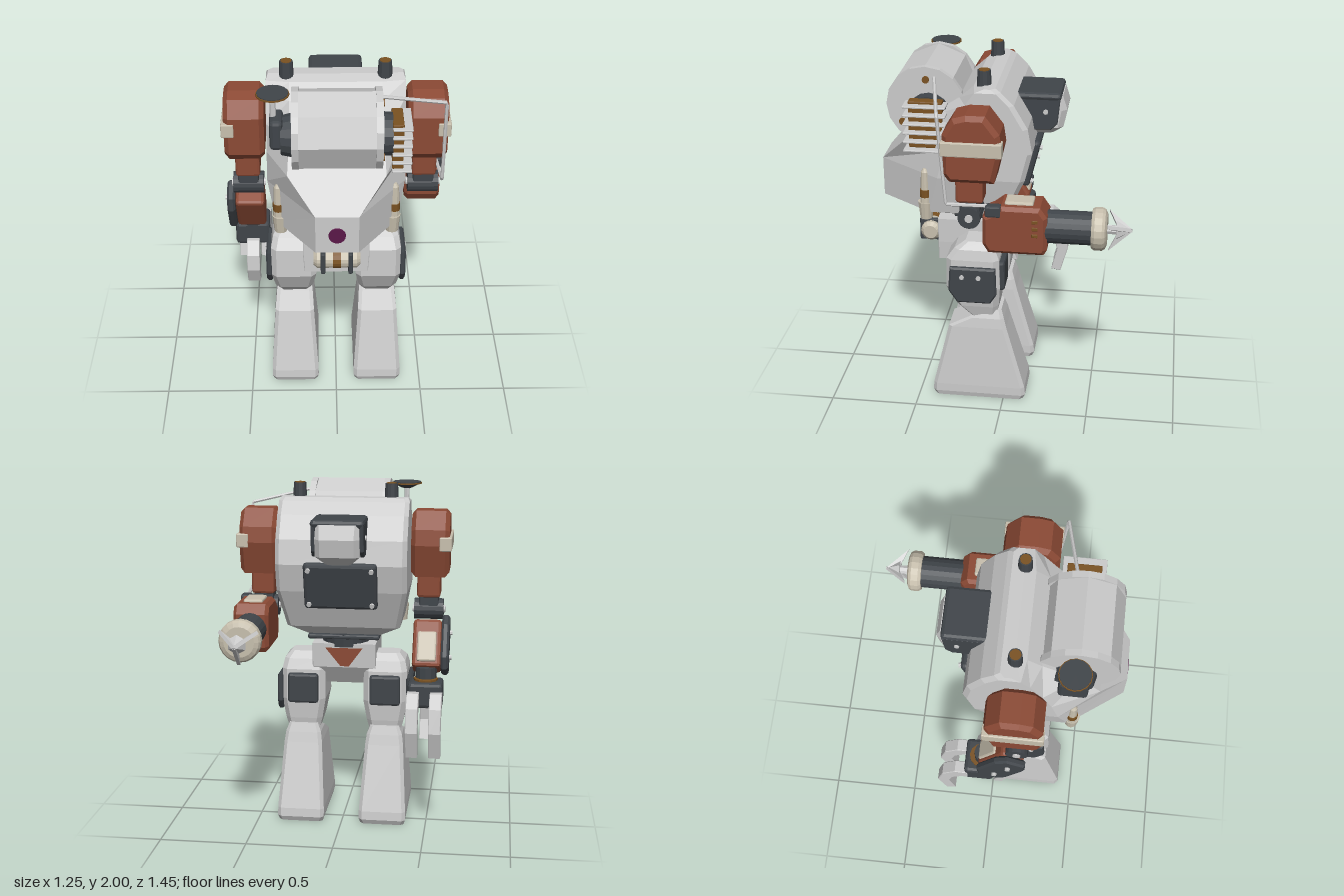
import * as THREE from 'three';
import { RoundedBoxGeometry } from 'three/addons/geometries/RoundedBoxGeometry.js';

const mat = (color, side = THREE.FrontSide) => new THREE.MeshStandardMaterial({ color, flatShading: true, side });
const GREY = mat(0xcccccc), DARK = mat(0x40454a), RUST = mat(0x8c4a35), CREAM = mat(0xc8c0ae);
const BROWN = mat(0x7a5222), PURPLE = mat(0x5a1848), DECAL = mat(0x8c4a35, THREE.DoubleSide);

function add(parent, name, geometry, material, x = 0, y = 0, z = 0) {
  const m = new THREE.Mesh(geometry, material);
  m.name = name;
  m.position.set(x, y, z);
  parent.add(m);
  return m;
}

// Box given by its limits, with softened edges
function box(p, name, material, x0, x1, y0, y1, z0, z1, r = 0.01) {
  const g = new RoundedBoxGeometry(x1 - x0, y1 - y0, z1 - z0, 1, r);
  return add(p, name, g, material, (x0 + x1) / 2, (y0 + y1) / 2, (z0 + z1) / 2);
}

// Cylinder along an axis; r1 is the radius at the positive end
function cyl(p, name, material, axis, r0, r1, length, x, y, z, sides = 16) {
  const m = add(p, name, new THREE.CylinderGeometry(r1, r0, length, sides), material, x, y, z);
  if (axis === 'x') m.rotation.z = -Math.PI / 2;
  if (axis === 'z') m.rotation.x = Math.PI / 2;
  return m;
}

// Side outline of [z, y] points extruded from x0 to x1
function slab(p, name, material, pts, x0, x1, bevel = 0.015) {
  const shape = new THREE.Shape(pts.map(([z, y]) => new THREE.Vector2(-z, y)));
  const g = new THREE.ExtrudeGeometry(shape, {
    depth: x1 - x0 - 2 * bevel, bevelEnabled: bevel > 0, bevelSize: bevel, bevelThickness: bevel,
    bevelOffset: -bevel, bevelSegments: 1,
  });
  g.translate(0, 0, bevel).rotateY(Math.PI / 2);
  return add(p, name, g, material, x0);
}

// Skin over stacked rings of [x, y, z], bottom ring first
function loft(rings) {
  const n = rings[0].length, v = [];
  for (let k = 0; k < rings.length - 1; k++) {
    for (let i = 0; i < n; i++) {
      const j = (i + 1) % n, lo = rings[k], up = rings[k + 1];
      v.push(...lo[i], ...up[i], ...lo[j], ...lo[j], ...up[i], ...up[j]);
    }
  }
  const a = rings[0], b = rings[rings.length - 1];
  for (let i = 1; i < n - 1; i++) v.push(...a[0], ...a[i], ...a[i + 1], ...b[0], ...b[i + 1], ...b[i]);
  const g = new THREE.BufferGeometry();
  g.setAttribute('position', new THREE.Float32BufferAttribute(v, 3));
  g.computeVertexNormals();
  return g;
}

// Rectangle ring with cut corners: height, half width, back, front, corner
const ring = ([y, w, z0, z1, c]) => [
  [w, y, z0 + c], [w, y, z1 - c], [w - c, y, z1], [c - w, y, z1],
  [-w, y, z1 - c], [-w, y, z0 + c], [c - w, y, z0], [w - c, y, z0]];

function buildTorso(root) {
  const g = new THREE.Group();
  g.name = 'torso';
  root.add(g);
  // height, back, side front, front, side half width, front half width
  const levels = [
    [1.11, 0.04, 0.25, 0.5, 0.2, 0.11], [1.175, -0.02, 0.42, 0.72, 0.33, 0.115],
    [1.4, -0.12, 0.36, 0.72, 0.375, 0.115], [1.56, -0.16, 0.32, 0.57, 0.375, 0.26],
    [1.7, -0.135, 0.27, 0.45, 0.375, 0.25], [1.83, -0.06, 0.2, 0.25, 0.375, 0.25],
    [1.9, 0.01, 0.15, 0.17, 0.375, 0.25], [1.92, 0.04, 0.1, 0.11, 0.365, 0.25]];
  const c = 0.025;
  add(g, 'torsoShell', loft(levels.map(([y, b, s, f, w, v]) => [
    [w, y, b + c], [w, y, s], [v, y, f], [-v, y, f], [-w, y, s], [-w, y, b + c], [c - w, y, b], [w - c, y, b]])), GREY);
  cyl(g, 'frontLens', PURPLE, 'z', 0.047, 0.045, 0.012, 0, 1.285, 0.722, 20);
  cyl(g, 'neckRing', DARK, 'y', 0.14, 0.15, 0.08, 0, 1.085, 0.15, 16);
  box(g, 'bellyPlate', DARK, -0.21, 0.21, 1.095, 1.125, 0.0, 0.3);
  for (const s of [-1, 1]) {
    // Flask and exhaust stack on each side
    cyl(g, 'flaskBase', CREAM, 'y', 0.035, 0.045, 0.1, s * 0.305, 1.18, 0.44, 12);
    cyl(g, 'flaskBody', CREAM, 'y', 0.03, 0.022, 0.18, s * 0.315, 1.32, 0.44, 12);
    cyl(g, 'flaskTip', CREAM, 'y', 0.022, 0.01, 0.02, s * 0.315, 1.42, 0.44, 12);
    cyl(g, 'flaskBand', BROWN, 'y', 0.031, 0.031, 0.045, s * 0.315, 1.285, 0.44, 12);
    cyl(g, 'stack', DARK, 'y', 0.042, 0.036, 0.12, s * 0.265, 1.937, 0.11, 12);
    cyl(g, 'stackTop', BROWN, 'y', 0.03, 0.03, 0.006, s * 0.265, 1.997, 0.11, 12);
  }
  // Back pack with dark lid and cheeks
  add(g, 'packBody', loft([[1.58, 0.07, -0.25, -0.08, 0.02], [1.63, 0.125, -0.305, -0.06, 0.03],
    [1.73, 0.125, -0.325, -0.04, 0.03], [1.81, 0.12, -0.3, -0.03, 0.02]].map(ring)), GREY);
  box(g, 'packLid', DARK, -0.148, 0.152, 1.79, 1.835, -0.295, 0.04, 0.02);
  for (const s of [-1, 1]) {
    slab(g, 'packCheek', DARK, [[-0.05, 1.81], [-0.29, 1.81], [-0.275, 1.66], [-0.24, 1.625], [-0.1, 1.62]],
      s * 0.135 - 0.012, s * 0.135 + 0.012, 0.005);
    cyl(g, 'packBolt', GREY, 'x', 0.014, 0.014, 0.012, s * 0.15, 1.73, -0.21, 8);
  }
  // Bolted service plate
  const plate = new THREE.Group();
  plate.name = 'servicePlate';
  plate.position.set(0, 1.44, -0.135);
  plate.rotation.x = -0.25;
  g.add(plate);
  box(plate, 'servicePanel', DARK, -0.21, 0.21, -0.14, 0.14, -0.025, 0.025, 0.02);
  for (const x of [-0.18, 0.18]) for (const y of [-0.105, 0.105])
    cyl(plate, 'serviceBolt', GREY, 'z', 0.014, 0.014, 0.02, x, y, -0.03, 8);
}

function buildHead(root) {
  const g = new THREE.Group();
  g.name = 'head';
  root.add(g);
  const y = 1.773, z = 0.44;
  cyl(g, 'headBarrel', GREY, 'x', 0.216, 0.216, 0.46, 0.003, y, z, 8);
  for (const x of [-0.215, 0.22]) cyl(g, 'headRim', GREY, 'x', 0.217, 0.217, 0.036, x, y, z, 16);
  for (const [dy, dz] of [[0.145, -0.005], [-0.1, 0.13]])
    cyl(g, 'rimStud', BROWN, 'x', 0.02, 0.02, 0.012, 0.242, y + dy, z + dz, 10);
  // Finned vent on the left
  cyl(g, 'ventHub', DARK, 'x', 0.12, 0.115, 0.06, 0.265, 1.725, 0.42);
  box(g, 'ventCore', BROWN, 0.29, 0.35, 1.565, 1.83, 0.33, 0.515, 0.005);
  for (let i = 0; i < 6; i++) {
    const fy = 1.56 + i * 0.05;
    box(g, 'ventFin', GREY, 0.29, 0.395, fy - 0.006, fy + 0.006, 0.305, 0.54, 0.004);
  }
  // Dish on the right
  cyl(g, 'dishHub', DARK, 'x', 0.105, 0.12, 0.06, -0.262, 1.72, 0.42);
  box(g, 'dishMount', DARK, -0.35, -0.28, 1.67, 1.84, 0.34, 0.5, 0.02);
  cyl(g, 'dishPost', GREY, 'y', 0.016, 0.016, 0.14, -0.33, 1.89, 0.42, 8);
  cyl(g, 'dishCone', DARK, 'y', 0.03, 0.08, 0.025, -0.33, 1.95, 0.42, 16);
  cyl(g, 'dishRim', BROWN, 'y', 0.088, 0.088, 0.008, -0.33, 1.966, 0.42, 16);
  cyl(g, 'dishFace', DARK, 'y', 0.083, 0.083, 0.006, -0.33, 1.972, 0.42, 16);
  // Bent feed pipe from the head to the left elbow
  const path = new THREE.CurvePath();
  const pts = [[0.23, 1.93, 0.39], [0.585, 1.85, 0.315], [0.585, 1.345, 0.275], [0.57, 1.34, 0.05]].map(p => new THREE.Vector3(...p));
  for (let i = 0; i < 3; i++) path.add(new THREE.LineCurve3(pts[i], pts[i + 1]));
  add(g, 'feedPipe', new THREE.TubeGeometry(path, 60, 0.01, 6), GREY);
}

function buildPelvis(root) {
  const g = new THREE.Group();
  g.name = 'pelvis';
  root.add(g);
  add(g, 'pelvisBlock', loft([[0.81, 0.18, 0.1, 0.4, 0.004], [0.92, 0.187, 0.03, 0.4, 0.004],
    [1.065, 0.187, 0.02, 0.4, 0.004]].map(ring)), GREY);
  const tri = new THREE.Shape([[-0.11, 1.04], [0.11, 1.04], [0.02, 0.93], [-0.03, 0.93]].map(p => new THREE.Vector2(...p)));
  add(g, 'paintPatch', new THREE.ShapeGeometry(tri), DECAL, 0, 0, 0.017);
  // Strapped canister
  const prof = [[0, -0.13], [0.04, -0.13], [0.058, -0.11], [0.058, 0.11], [0.04, 0.13], [0, 0.13]];
  add(g, 'canister', new THREE.LatheGeometry(prof.map(p => new THREE.Vector2(...p)), 16), CREAM, 0.002, 0.95, 0.457).rotation.z = Math.PI / 2;
  cyl(g, 'canisterBand', BROWN, 'x', 0.06, 0.06, 0.045, 0.002, 0.95, 0.457);
  for (const x of [-0.075, 0.078]) box(g, 'canisterStrap', DARK, x - 0.013, x + 0.013, 0.882, 1.018, 0.395, 0.525, 0.008);
}

function buildLeg(root, s) {
  const g = new THREE.Group();
  g.name = s > 0 ? 'leftLeg' : 'rightLeg';
  g.position.x = s * 0.243;
  root.add(g);
  add(g, 'thigh', loft([[0.49, 0.08, 0.05, 0.16, 0.02], [0.6, 0.11, 0.03, 0.27, 0.03], [0.72, 0.13, 0.02, 0.33, 0.03],
    [0.9, 0.128, 0.025, 0.325, 0.03], [0.96, 0.115, 0.05, 0.28, 0.03], [1.0, 0.08, 0.09, 0.22, 0.02]].map(ring)), GREY);
  add(g, 'shin', loft([[0, 0.13, -0.115, 0.405, 0.02], [0.03, 0.138, -0.13, 0.417, 0.02], [0.08, 0.138, -0.125, 0.413, 0.02],
    [0.46, 0.113, -0.015, 0.32, 0.02], [0.52, 0.105, 0, 0.2, 0.02], [0.57, 0.085, 0.015, 0.08, 0.015]].map(ring)), GREY);
  const x = s * 0.14;
  slab(g, 'thighPlate', DARK, [[0.3, 0.865], [0.04, 0.865], [0.035, 0.7], [0.07, 0.645], [0.26, 0.645], [0.31, 0.72]], x - 0.018, x + 0.018, 0.01);
  for (const z of [0.135, 0.23]) cyl(g, 'thighBolt', GREY, 'x', 0.014, 0.014, 0.012, s * 0.16, 0.81, z, 8);
  box(g, 'rearThighPlate', DARK, -0.09, 0.09, 0.7, 0.88, -0.005, 0.04, 0.015);
}

function buildUpperArm(g, s) {
  const span = (a, b) => (s > 0 ? [a, b] : [-b, -a]);
  slab(g, 'shoulder', RUST, [[0.165, 1.85], [0.06, 1.85], [-0.015, 1.75], [-0.028, 1.66], [0.015, 1.475],
    [0.255, 1.475], [0.29, 1.52], [0.29, 1.74], [0.235, 1.83]], ...span(0.388, 0.606), 0.025);
  box(g, 'shoulderBand', CREAM, ...span(0.55, 0.62), 1.63, 1.71, -0.03, 0.297, 0.006);
  box(g, 'upperArm', RUST, ...span(0.42, 0.555), 1.34, 1.5, 0.08, 0.23, 0.015);
  box(g, 'elbowBracket', DARK, ...span(0.43, 0.545), 1.27, 1.37, 0.1, 0.21);
  cyl(g, 'elbowJoint', DARK, 'x', 0.062, 0.062, 0.17, s * 0.488, 1.262, 0.155);
  cyl(g, 'elbowPin', GREY, 'x', 0.022, 0.022, 0.19, s * 0.488, 1.262, 0.155, 10);
}

// Left arm carries a rear-facing harpoon launcher
function buildLauncherArm(root) {
  const g = new THREE.Group(), x = 0.497, y = 1.207;
  g.name = 'leftArm';
  root.add(g);
  buildUpperArm(g, 1);
  slab(g, 'forearm', RUST, [[0.08, 1.12], [0.05, 1.07], [-0.25, 1.07], [-0.268, 1.1], [-0.268, 1.29], [-0.23, 1.345],
    [-0.02, 1.345], [0.03, 1.305], [0.08, 1.28]], 0.395, 0.597, 0.02);
  box(g, 'forearmPad', CREAM, 0.44, 0.55, 1.33, 1.36, -0.19, -0.035);
  box(g, 'pipeSocket', DARK, 0.545, 0.602, 1.285, 1.35, -0.02, 0.065);
  for (const vy of [1.19, 1.23, 1.27]) box(g, 'forearmSlot', BROWN, 0.58, 0.6, vy - 0.011, vy + 0.011, -0.22, -0.185, 0.004);
  cyl(g, 'barrel', DARK, 'z', 0.092, 0.092, 0.26, x, y, -0.385, 20);
  const prof = [[0, -0.585], [0.085, -0.585], [0.108, -0.575], [0.118, -0.56], [0.118, -0.52], [0.108, -0.503], [0, -0.5]];
  add(g, 'muzzle', new THREE.LatheGeometry(prof.map(p => new THREE.Vector2(...p)), 20), CREAM, x, y, 0).rotation.x = Math.PI / 2;
  cyl(g, 'harpoonShaft', GREY, 'z', 0.026, 0.026, 0.1, x, y, -0.61, 8);
  cyl(g, 'harpoonTip', GREY, 'z', 0, 0.055, 0.085, x, y, -0.678, 6);
  for (let i = 0; i < 3; i++) {
    const barb = slab(g, 'harpoonBarb', GREY, [[-0.72, 0], [-0.592, 0.123], [-0.63, 0.04], [-0.64, 0]], -0.01, 0.01, 0);
    const turn = new THREE.Group();
    turn.name = 'harpoonFin';
    turn.position.set(x, y, 0);
    turn.rotation.z = Math.PI + i * Math.PI * 2 / 3;
    turn.add(barb);
    g.add(turn);
  }
}

// Right arm ends in a three-fingered claw
function buildClawArm(root) {
  const g = new THREE.Group(), x = -0.487;
  g.name = 'rightArm';
  root.add(g);
  buildUpperArm(g, -1);
  const f = new THREE.Group();
  f.name = 'forearmGroup';
  f.position.set(x, 1.06, 0.07);
  f.rotation.x = 0.53;
  g.add(f);
  box(f, 'forearm', RUST, -0.083, 0.083, -0.15, 0.14, -0.075, 0.075, 0.02);
  box(f, 'forearmPad', CREAM, -0.055, 0.055, -0.12, 0.06, -0.088, -0.06);
  slab(f, 'forearmShield', DARK, [[0.06, 0.17], [-0.06, 0.17], [-0.1, 0.1], [-0.1, -0.1], [-0.06, -0.16], [0.06, -0.16], [0.1, -0.1], [0.1, 0.1]], -0.128, -0.083, 0.012);
  for (const y of [-0.07, 0.08]) cyl(f, 'shieldBolt', GREY, 'x', 0.015, 0.015, 0.02, -0.133, y, 0, 8);
  cyl(g, 'wrist', DARK, 'y', 0.062, 0.062, 0.1, x, 0.91, -0.03, 12);
  cyl(g, 'wristRing', BROWN, 'y', 0.07, 0.07, 0.015, x, 0.888, -0.05, 12);
  box(g, 'palm', DARK, -0.588, -0.387, 0.735, 0.885, -0.145, 0.025, 0.02);
  const finger = [[-0.07, 0.81], [-0.12, 0.835], [-0.2, 0.84], [-0.275, 0.77], [-0.307, 0.635], [-0.262, 0.477],
    [-0.205, 0.487], [-0.24, 0.625], [-0.215, 0.715], [-0.16, 0.755], [-0.09, 0.745]];
  for (const fx of [-0.588, -0.456]) {
    slab(g, 'finger', GREY, finger, fx, fx + 0.07, 0.004);
    cyl(g, 'fingerKnuckle', GREY, 'x', 0.04, 0.04, 0.06, fx + 0.035, 0.785, -0.11, 10);
  }
  slab(g, 'thumb', GREY, [[0, 0.78], [0.05, 0.78], [0.11, 0.71], [0.12, 0.61], [0.07, 0.495], [0.02, 0.5], [0.06, 0.61], [0.05, 0.68], [0, 0.71]],
    x - 0.038, x + 0.038, 0.004);
}

export function createModel() {
  const root = new THREE.Group();
  root.name = 'walkerRobot';
  buildTorso(root);
  buildHead(root);
  buildPelvis(root);
  for (const s of [-1, 1]) buildLeg(root, s);
  buildLauncherArm(root);
  buildClawArm(root);
  return root;
}
